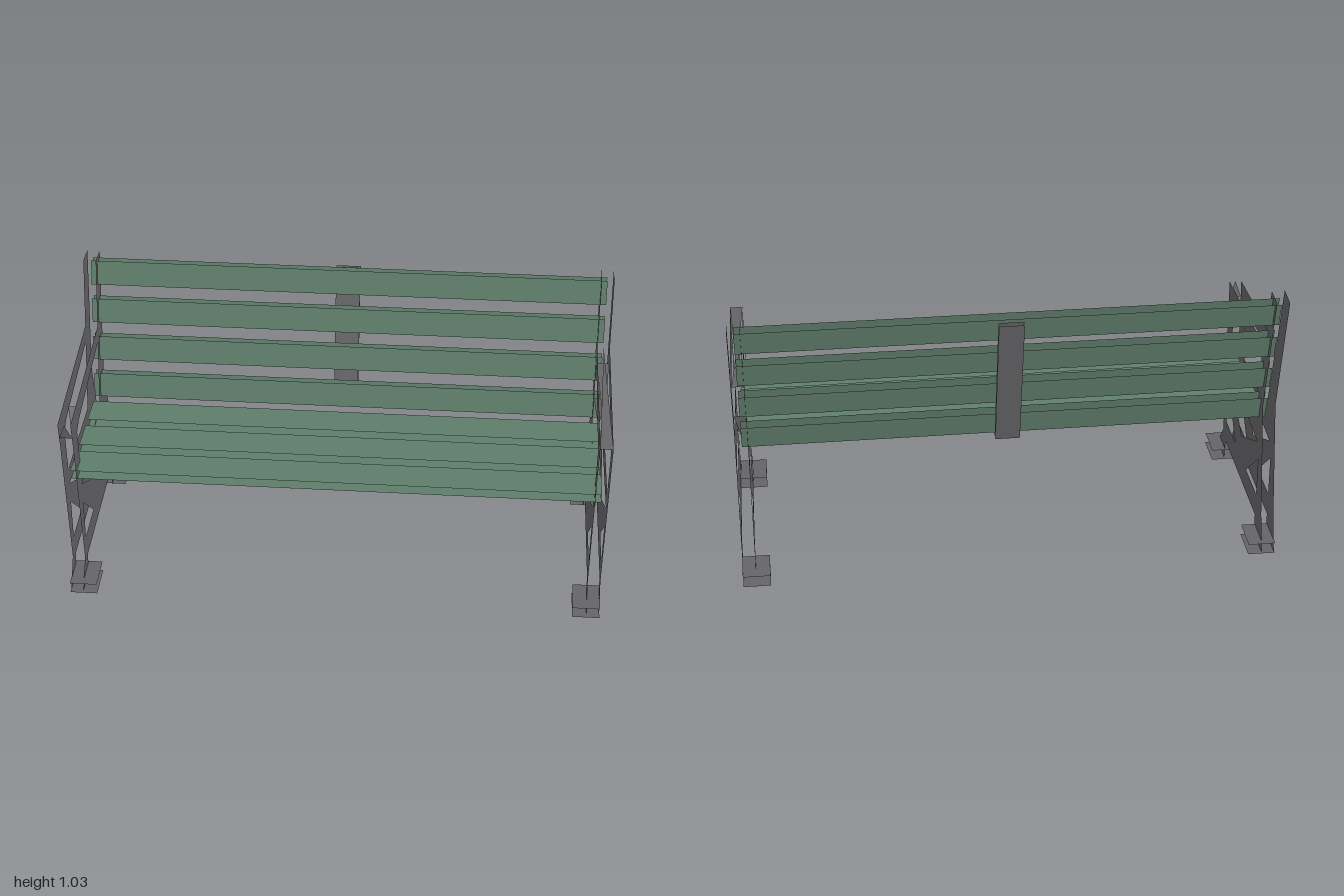
import * as THREE from 'three';

export function createModel() {
  const bench = new THREE.Group();
  bench.name = 'parkBench';
  const iron = new THREE.MeshStandardMaterial({ color: 0x656567, side: THREE.DoubleSide });
  iron.name = 'darkIron';
  const paint = new THREE.MeshStandardMaterial({ color: 0x5f7d6b, side: THREE.DoubleSide });
  paint.name = 'greenPaint';

  const add = (name, geometry, material, parent = bench) => {
    const mesh = new THREE.Mesh(geometry, material);
    mesh.name = name;
    parent.add(mesh);
    return mesh;
  };
  const points = (list) => list.map(([z, y]) => new THREE.Vector2(z, y));

  // A thin sheet tilted about x
  const sheet = (name, w, h, tilt, x, y, z, material, parent) => {
    const mesh = add(name, new THREE.PlaneGeometry(w, h).rotateX(tilt), material, parent);
    mesh.position.set(x, y, z);
  };

  // Side frame silhouette as (z, y), with arm and brace openings
  const outline = new THREE.Shape(points([
    [0.395, 0.01], [0.322, 0.11], [0.357, 0.66], [0.367, 0.743], [-0.22, 0.779],
    [-0.28, 1.03], [-0.365, 1.024], [-0.27, 0.558], [-0.354, 0.145], [-0.4, 0.004],
    [-0.27, 0], [-0.262, 0.083], [0.273, 0.083], [0.281, 0.002],
  ]));
  const openings = [
    [[0.263, 0.472], [0.27, 0.646], [0.225, 0.668], [-0.203, 0.72], [-0.14, 0.459]],
    [[0.265, 0.408], [0.018, 0.257], [-0.22, 0.377]],
    [[0.271, 0.326], [0.278, 0.17], [0.113, 0.17]],
    [[-0.253, 0.32], [-0.259, 0.17], [-0.085, 0.17]],
  ];
  for (const hole of openings) outline.holes.push(new THREE.Path(points(hole)));
  const frameGeometry = new THREE.ShapeGeometry(outline).rotateY(-Math.PI / 2);
  const diamondGeometry = new THREE.ShapeGeometry(new THREE.Shape(points([
    [0.07, 0.168], [0.017, 0.22], [-0.036, 0.168], [0.017, 0.117],
  ]))).rotateY(-Math.PI / 2);

  for (const side of [-1, 1]) {
    const frame = new THREE.Group();
    frame.name = side > 0 ? 'leftFrame' : 'rightFrame';
    bench.add(frame);
    // Outer and inner plates
    add('outerPlate', frameGeometry, iron, frame).position.x = side * 0.978;
    add('innerPlate', frameGeometry, iron, frame).position.x = side * 0.932;
    add('diamondBoss', diamondGeometry, iron, frame).position.x = side * 0.981;
    // Foot flanges, top and bottom faces
    for (const z of [0.335, -0.338]) {
      for (const y of [0.003, 0.045]) {
        sheet('footFlange', 0.1, 0.135, -Math.PI / 2, side * 0.93, y, z, iron, frame);
      }
    }
  }

  // Tapered webs bridging the plates: [side, base z, base y, apex z, apex y]
  const webs = [
    [1, 0.367, 0.743, -0.22, 0.779],
    [1, -0.203, 0.72, 0.18, 0.69],
    [1, -0.171, 0.583, -0.145, 0.475],
    [-1, 0.357, 0.68, 0.367, 0.743],
    [-1, 0.175, 0.69, 0.26, 0.64],
  ];
  for (const [side, z, y, apexZ, apexY] of webs) {
    const web = new THREE.BufferGeometry().setFromPoints([
      new THREE.Vector3(side * 0.955 - 0.023, y, z),
      new THREE.Vector3(side * 0.955 + 0.023, y, z),
      new THREE.Vector3(side * 0.955, apexY, apexZ),
    ]);
    web.computeVertexNormals();
    add('frameWeb', web, iron);
  }

  // Backrest slats: open front and back faces, following the lean
  const lean = Math.atan(0.235);
  for (let i = 0; i < 4; i++) {
    const y = 0.969 - i * 0.145, z = -0.296 + i * 0.0345;
    const slat = new THREE.Group();
    slat.name = 'backSlat';
    bench.add(slat);
    sheet('frontFace', 1.91, 0.093, -lean, 0, y, z, paint, slat);
    sheet('rearFace', 1.91, 0.093, -lean, 0, y - 0.008, z - 0.036, paint, slat);
  }

  // Seat slats: open top and bottom faces, dipping towards the back
  const dip = 0.07;
  for (let i = 0; i < 3; i++) {
    const y = 0.514 - i * 0.0122, z = 0.268 - i * 0.1765;
    const slat = new THREE.Group();
    slat.name = 'seatSlat';
    bench.add(slat);
    sheet('topFace', 1.91, 0.134, -Math.PI / 2 - dip, 0, y, z, paint, slat);
    sheet('bottomFace', 1.91, 0.134, -Math.PI / 2 - dip, 0, y - 0.035, z - 0.002, paint, slat);
  }

  // Centre strap behind the backrest
  const strap = new THREE.Group();
  strap.name = 'centreStrap';
  bench.add(strap);
  sheet('frontFace', 0.09, 0.54, -lean, 0, 0.737, -0.292, iron, strap);
  sheet('rearFace', 0.09, 0.54, -lean, 0, 0.733, -0.31, iron, strap);

  return bench;
}
